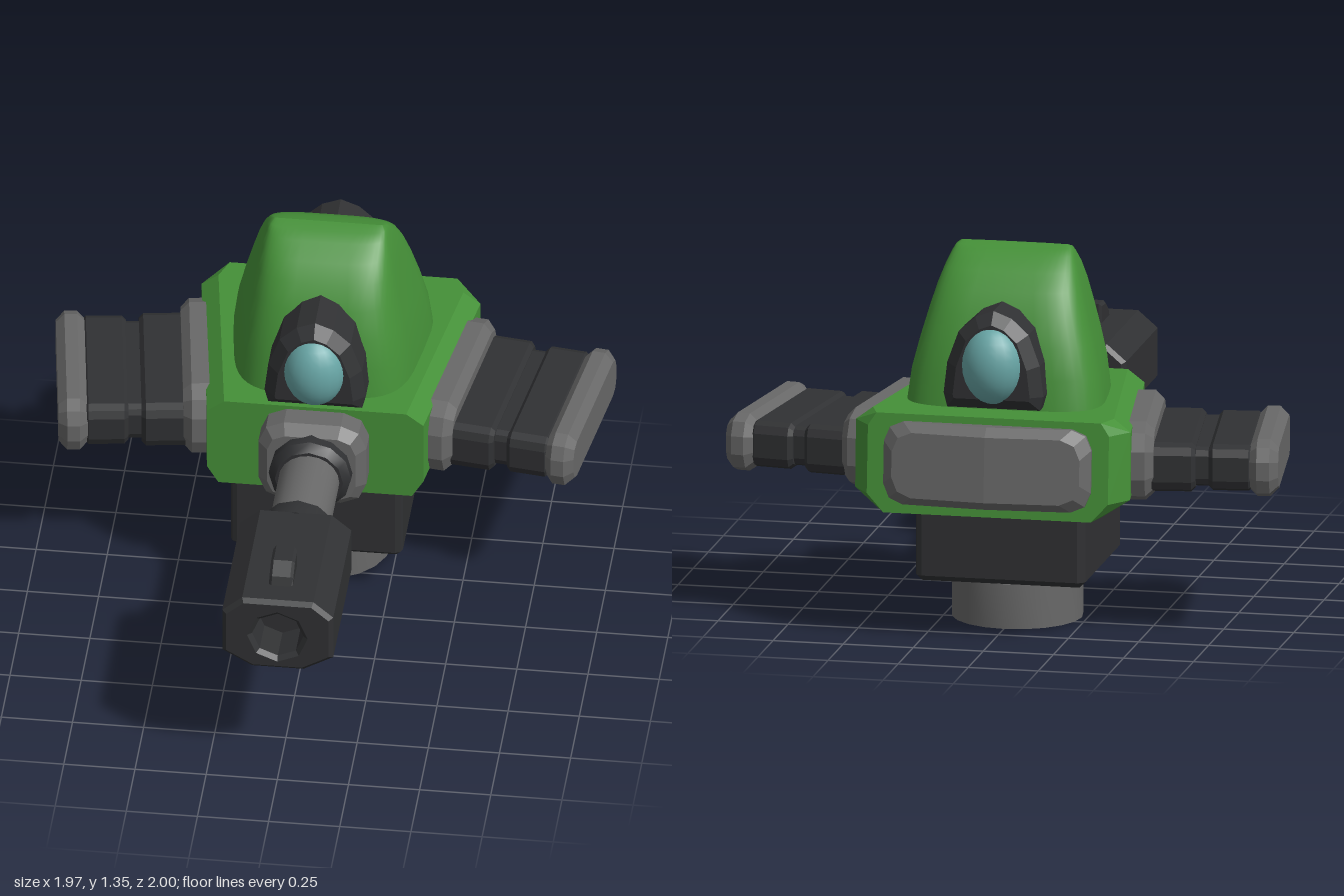
import * as THREE from 'three';
import { toCreasedNormals } from 'three/addons/utils/BufferGeometryUtils.js';
import { ConvexGeometry } from 'three/addons/geometries/ConvexGeometry.js';

const mat = (color, opts = {}) => {
  const m = new THREE.MeshStandardMaterial({ color });
  return Object.assign(m, opts);
};
const green = mat(0x459038);
const dark = mat(0x303133);
const grey = mat(0x686868);
const glass = mat(0x68a6a6);

function add(parent, name, geometry, material, x = 0, y = 0, z = 0) {
  const mesh = new THREE.Mesh(geometry, material);
  mesh.name = name;
  mesh.position.set(x, y, z);
  parent.add(mesh);
  return mesh;
}

// Corner points of a rectangle with each corner cut in two steps
function outline(w, h, c) {
  const pts = [];
  const arc = [[1, 0], [0.3, 0.3], [0, 1]];
  [[1, 1], [-1, 1], [-1, -1], [1, -1]].forEach(([sx, sy], i) => {
    const steps = i % 2 ? [...arc].reverse() : arc;
    steps.forEach(([a, b]) => pts.push(new THREE.Vector2(sx * (w / 2 - c * b), sy * (h / 2 - c * a))));
  });
  return pts;
}

// Bevelled extrusion filling z0..z1
function slab(shape, z0, z1, bevel) {
  return new THREE.ExtrudeGeometry(shape, {
    depth: z1 - z0 - 2 * bevel, bevelThickness: bevel, bevelSize: bevel,
    bevelOffset: -bevel, bevelSegments: 1, curveSegments: 4,
  }).translate(0, 0, z0 + bevel);
}
const plate = (w, h, c, z0, z1, bevel) => slab(new THREE.Shape(outline(w, h, c)), z0, z1, bevel);

// Cylinder along z from z0 (radius r0) to z1 (radius r1)
function rod(r0, r1, z0, z1, sides = 16) {
  const g = new THREE.CylinderGeometry(r1, r0, z1 - z0, sides).rotateX(Math.PI / 2);
  return toCreasedNormals(g.translate(0, 0, (z0 + z1) / 2), 0.6);
}

// Hull shell: chamfered sections, widening to the rear
function bodyGeometry() {
  const pts = [];
  const section = (zTop, zBottom, top, mid, bottom) => {
    [[top, 0.815], [mid, 0.77], [mid, 0.53], [bottom, 0.465]].forEach(([x, y]) => {
      const z = zBottom + (zTop - zBottom) * (y - 0.465) / 0.35;
      pts.push(new THREE.Vector3(x, y, z), new THREE.Vector3(-x, y, z));
    });
  };
  section(-0.09, -0.09, 0.32, 0.38, 0.34);
  section(-0.83, -0.85, 0.43, 0.49, 0.39);
  section(-0.91, -0.94, 0.40, 0.43, 0.37);
  return new ConvexGeometry(pts);
}

// Dome: rounded, tapered rings closing to a ridge
function domeGeometry() {
  const rings = [ // y, half width, half depth
    [0.80, 0.335, 0.312], [0.92, 0.32, 0.3], [1.03, 0.295, 0.275], [1.13, 0.27, 0.24],
    [1.21, 0.25, 0.195], [1.27, 0.232, 0.145], [1.315, 0.215, 0.085], [1.335, 0.205, 0.045], [1.345, 0.19, 0],
  ];
  const n = 40, pos = [], idx = [];
  const round = (v) => Math.sign(v) * Math.abs(v) ** 0.5;
  rings.forEach(([y, w, d], i) => {
    for (let j = 0; j < n; j++) {
      const a = (j / n) * Math.PI * 2, s = round(Math.sin(a));
      pos.push(w * round(Math.cos(a)) * (1 - 0.12 * s * d / 0.31), y, -0.47 + d * s);
      if (i === rings.length - 1) continue;
      const p = i * n + j, q = i * n + (j + 1) % n;
      idx.push(p, p + n, q, q, p + n, q + n);
    }
  });
  const g = new THREE.BufferGeometry();
  g.setAttribute('position', new THREE.Float32BufferAttribute(pos, 3));
  g.setIndex(idx);
  g.computeVertexNormals();
  return g;
}

// Rear panel: rounded plate, slightly peaked in the middle and leaning with the hull
function rearPanelGeometry() {
  const pts = [];
  [[0.74, 0.29, -0.89], [0.74, 0.29, -0.935], [0.67, 0.23, -0.965]].forEach(([w, h, z]) => {
    const loop = outline(w, h, 0.07);
    loop.push(new THREE.Vector2(0, h / 2), new THREE.Vector2(0, -h / 2));
    loop.forEach((p) => pts.push(new THREE.Vector3(
      p.x, 0.645 + p.y, z - 0.025 * (1 - Math.abs(p.x) / 0.37) + 0.08 * p.y)));
  });
  return new ConvexGeometry(pts);
}

// Side pod, built along local +x
function makeArm(name) {
  const arm = new THREE.Group();
  arm.name = name;
  [
    ['armFlange', 0.66, 0.28, 0.09, -0.06, 0.085, 0.03, grey],
    ['armInnerBlock', 0.6, 0.175, 0.04, 0.06, 0.23, 0.015, dark],
    ['armGroove', 0.54, 0.14, 0.03, 0.21, 0.3, 0.01, dark],
    ['armOuterBlock', 0.59, 0.165, 0.04, 0.275, 0.43, 0.015, dark],
    ['armEndCap', 0.64, 0.205, 0.07, 0.415, 0.52, 0.03, grey],
  ].forEach(([part, w, h, c, u0, u1, bevel, m]) => {
    const g = plate(w, h, c, u0, u1, bevel).rotateY(Math.PI / 2);
    add(arm, part, g, m, 0, part === 'armFlange' ? 0.015 : 0, 0);
  });
  return arm;
}

// Viewport with hood and lens, facing local +z
function makeEye(name) {
  const eye = new THREE.Group();
  eye.name = name;
  const half = [[0.165, 0.83], [0.178, 0.88], [0.165, 0.99], [0.125, 1.1], [0.065, 1.155]];
  const pts = [...half, [0, 1.18], ...half.map(([x, y]) => [-x, y]).reverse()];
  const arch = new THREE.Shape(pts.map(([x, y]) => new THREE.Vector2(x, y)));
  add(eye, 'eyeHood', slab(arch, 0.1, 0.41, 0.04), dark);
  const lens = new THREE.SphereGeometry(1, 20, 14).scale(0.11, 0.14, 0.1);
  add(eye, 'eyeLens', lens, glass, 0, 0.99, 0.378);
  return eye;
}

// Forward gun
function makeGun() {
  const gun = new THREE.Group();
  gun.name = 'gun';
  gun.position.y = 0.63;
  add(gun, 'gunMount', plate(0.38, 0.33, 0.09, -0.14, 0.025, 0.035), grey, 0, 0.007, 0);
  add(gun, 'rearCollar', rod(0.145, 0.145, 0, 0.06, 12), dark);
  add(gun, 'rearCollarTaper', rod(0.145, 0.12, 0.06, 0.09, 12), dark);
  add(gun, 'barrel', rod(0.107, 0.107, 0.05, 0.4, 20), grey);
  add(gun, 'frontCollarTaper', rod(0.115, 0.14, 0.37, 0.4, 12), dark);
  add(gun, 'frontCollar', rod(0.14, 0.14, 0.4, 0.47, 12), dark);

  const half = [[0.09, -0.155], [0.195, -0.095], [0.195, 0.075], [0.125, 0.135]];
  const pts = [...half, ...half.map(([x, y]) => [-x, y]).reverse()];
  const block = new THREE.Shape(pts.map(([x, y]) => new THREE.Vector2(x, y)));
  const bore = new THREE.Path();
  bore.absarc(0, -0.015, 0.09, 0, Math.PI * 2, true);
  block.holes.push(bore);
  add(gun, 'muzzleBlock', slab(block, 0.45, 1, 0.015), dark);
  add(gun, 'boreEnd', rod(0.11, 0.11, 0.47, 0.85), dark, 0, -0.015, 0);

  // Wedge sight: profile in z/y, extruded across x
  const sight = new THREE.Shape();
  [[0.91, 0.12], [0.89, 0.165], [0.84, 0.2], [0.76, 0.205], [0.76, 0.12]].forEach(([z, y], i) =>
    i ? sight.lineTo(-z, y) : sight.moveTo(-z, y));
  add(gun, 'sight', slab(sight, -0.042, 0.042, 0.01).rotateY(Math.PI / 2), dark);
  return gun;
}

export function createModel() {
  const model = new THREE.Group();
  model.name = 'turret';

  // Hollow pivot and swivel block
  const neck = [[0, 0.1], [0.2, 0.1], [0.2, 0], [0.23, 0], [0.23, 0.16], [0.215, 0.18], [0, 0.18]];
  const neckGeo = new THREE.LatheGeometry(neck.map(([x, y]) => new THREE.Vector2(x, y)), 20);
  add(model, 'pivotRing', toCreasedNormals(neckGeo, 0.6), grey, 0, 0, -0.43);
  const swivel = plate(0.605, 0.62, 0.025, 0.175, 0.47, 0.02).rotateX(-Math.PI / 2);
  add(model, 'swivelBlock', swivel, dark, 0, 0, -0.425);

  // Hull
  add(model, 'body', bodyGeometry(), green);
  add(model, 'dome', domeGeometry(), green);
  add(model, 'rearPanel', rearPanelGeometry(), grey);

  // Front and rear eyes
  ['frontEye', 'rearEye'].forEach((name, i) => {
    const eye = makeEye(name);
    eye.position.z = -0.46;
    eye.rotation.y = i * Math.PI;
    model.add(eye);
  });

  // Side arms, swept slightly forward
  const sweep = THREE.MathUtils.degToRad(8);
  [['leftArm', 1], ['rightArm', -1]].forEach(([name, side]) => {
    const arm = makeArm(name);
    arm.position.set(side * 0.43, 0.625, -0.475);
    arm.rotation.y = side > 0 ? -sweep : Math.PI + sweep;
    model.add(arm);
  });

  model.add(makeGun());
  return model;
}
